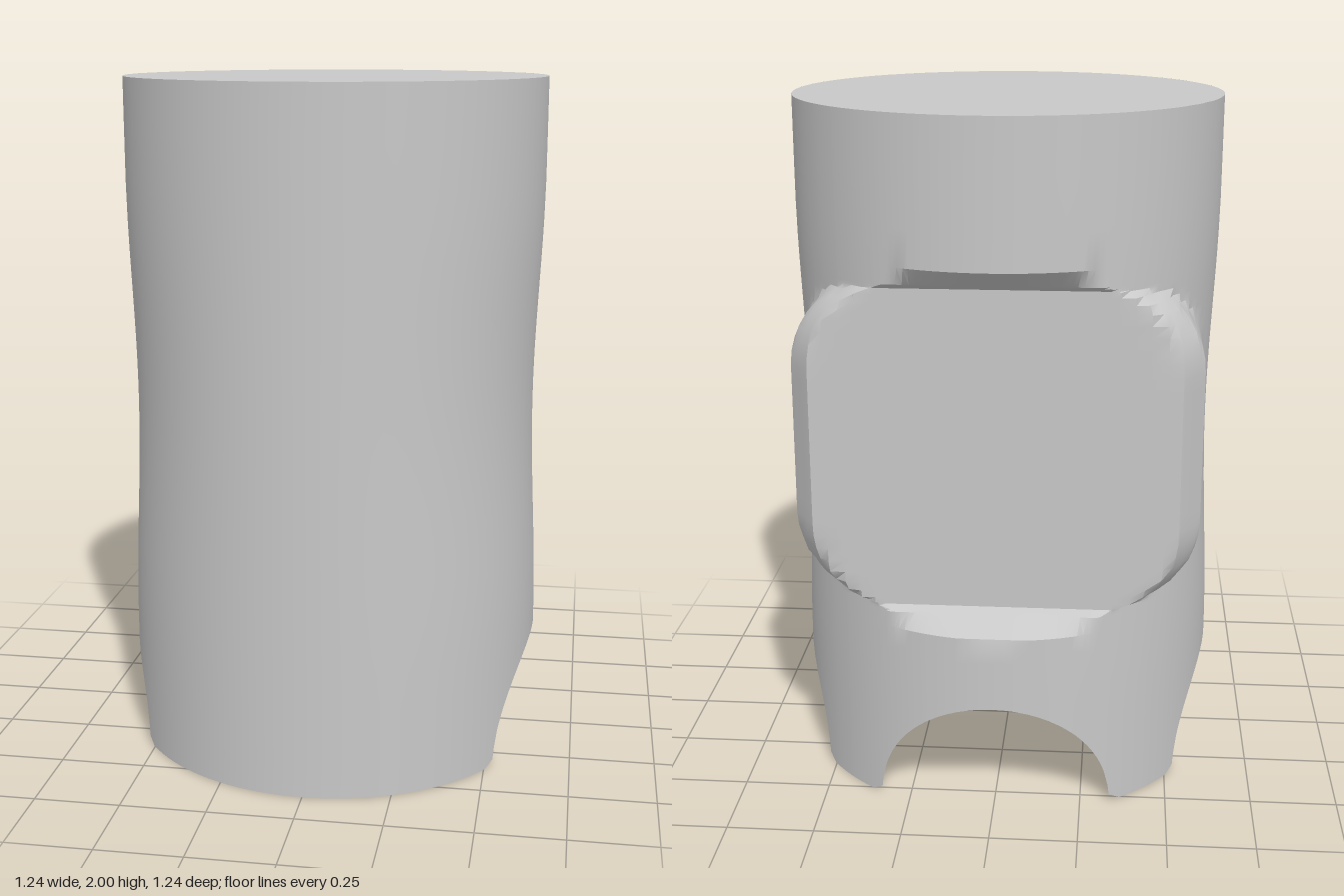
import * as THREE from 'three';
import { toCreasedNormals } from 'three/addons/utils/BufferGeometryUtils.js';

const R = 0.622, H = 2;               // body radius and height
const ARCH = 0.335, FOOT = 0.365;     // arch radius, start of the rounded foot
const PAD = { x: 0.575, z: 0.525, bottom: 0.6, top: 1.54, corner: 0.25 };
const rad = THREE.MathUtils.degToRad;

// Height of the lower rim at an angle: arches on both sides and the back
function rim(a) {
  for (const centre of [90, 180, 270]) {
    const d = a - rad(centre);
    if (Math.cos(d) < 0.7) continue;
    const u = Math.abs(R * Math.sin(d));
    if (u < ARCH) return Math.max(0.02, Math.sqrt(ARCH * ARCH - u * u));
    if (u < FOOT) return 0.02 * (FOOT - u) / (FOOT - ARCH);
  }
  return 0;
}

// Radius of the outer wall: waisted cylinder joined to a square pad, cut flat at the back
function radius(a, y) {
  const s = Math.abs(Math.sin(a)), c = -Math.cos(a);
  const t = THREE.MathUtils.clamp((y - 1.05) / 0.7, -1, 1);
  const waist = 1 - 0.035 * Math.cos(t * Math.PI / 2) ** 2;
  let r = R / Math.hypot(s / waist, c);
  if (c <= 0.01) return r;
  if (y >= PAD.bottom && y <= PAD.top) {
    const edge = Math.min(y - PAD.bottom, PAD.top - y);
    const d = Math.max(0, 1 - edge / PAD.corner);
    const hx = PAD.x - PAD.corner * (1 - Math.sqrt(Math.max(0, 1 - d * d)));
    const side = hx / Math.max(s, 0.001);
    const chamfer = (0.085 * hx + 0.06 * 0.44) / (0.085 * s + 0.06 * c);
    r = Math.max(r, Math.min(side, chamfer));
  }
  // Sloping lips above and below the flat
  const lip = Math.max(0, 0.61 - y, y - 1.53) / 0.065;
  const flat = PAD.z + Math.min(1, lip) * (R - PAD.z);
  return Math.min(r, flat / c);
}

// Column angles: an even fan, arch outlines and pad corners
function columnAngles() {
  const list = [];
  for (let d = 0; d < 360; d += 3) list.push(d);
  for (const centre of [90, 180, 270]) {
    const add = u => list.push(centre + THREE.MathUtils.radToDeg(Math.asin(u / R)));
    for (let p = 0; p <= 180; p += 9) add(ARCH * Math.cos(rad(p)));
    add(FOOT); add(-FOOT);
  }
  for (const d of [44.4, 52.6]) list.push(180 - d, 180 + d);
  return [...new Set(list.map(d => +d.toFixed(2)))].sort((p, q) => p - q).map(rad);
}

// Row heights above the arches, denser around the pad's rounded corners
function rowHeights() {
  const rows = [0.55, 0.595, 0.61, 1.53, 1.545, 1.595, 1.7, 1.85, H];
  for (let i = 0; i <= 10; i++) {
    const e = PAD.corner * (1 - Math.cos(i * Math.PI / 20));
    rows.push(PAD.bottom + e, PAD.top - e);
  }
  for (let y = 0.9; y < 1.27; y += 0.05) rows.push(y);
  return [...new Set(rows.map(y => +y.toFixed(4)))].sort((p, q) => p - q);
}

function wallGeometry() {
  const cols = columnAngles(), upper = rowHeights(), low = 6;
  const n = low + upper.length, pos = [], idx = [];
  for (const a of cols) {
    const b = rim(a);
    for (let j = 0; j < n; j++) {
      const y = j < low ? b + (upper[0] - b) * j / low : upper[j - low];
      const r = radius(a, y);
      pos.push(r * Math.sin(a), y, r * Math.cos(a));
    }
  }
  for (let i = 0; i < cols.length; i++) {
    const k = ((i + 1) % cols.length) * n;
    for (let j = 0; j < n - 1; j++) {
      const p = i * n + j, q = k + j;
      idx.push(p, q, q + 1, p, q + 1, p + 1);
    }
  }
  const g = new THREE.BufferGeometry();
  g.setAttribute('position', new THREE.Float32BufferAttribute(pos, 3));
  g.setIndex(idx);
  return toCreasedNormals(g, 0.5);
}

export function createModel() {
  const group = new THREE.Group();
  group.name = 'archedCylinder';
  const grey = new THREE.MeshStandardMaterial({ color: 0xc8c8c8, side: THREE.DoubleSide });
  grey.name = 'light grey';

  // Open shell with arches and the flat pad on its back
  const wall = new THREE.Mesh(wallGeometry(), grey);
  wall.name = 'shellWall';

  // Closed top
  const top = new THREE.Mesh(new THREE.CircleGeometry(R, 80).rotateX(-Math.PI / 2), grey);
  top.name = 'topCap';
  top.position.y = H;

  group.add(wall, top);
  return group;
}
